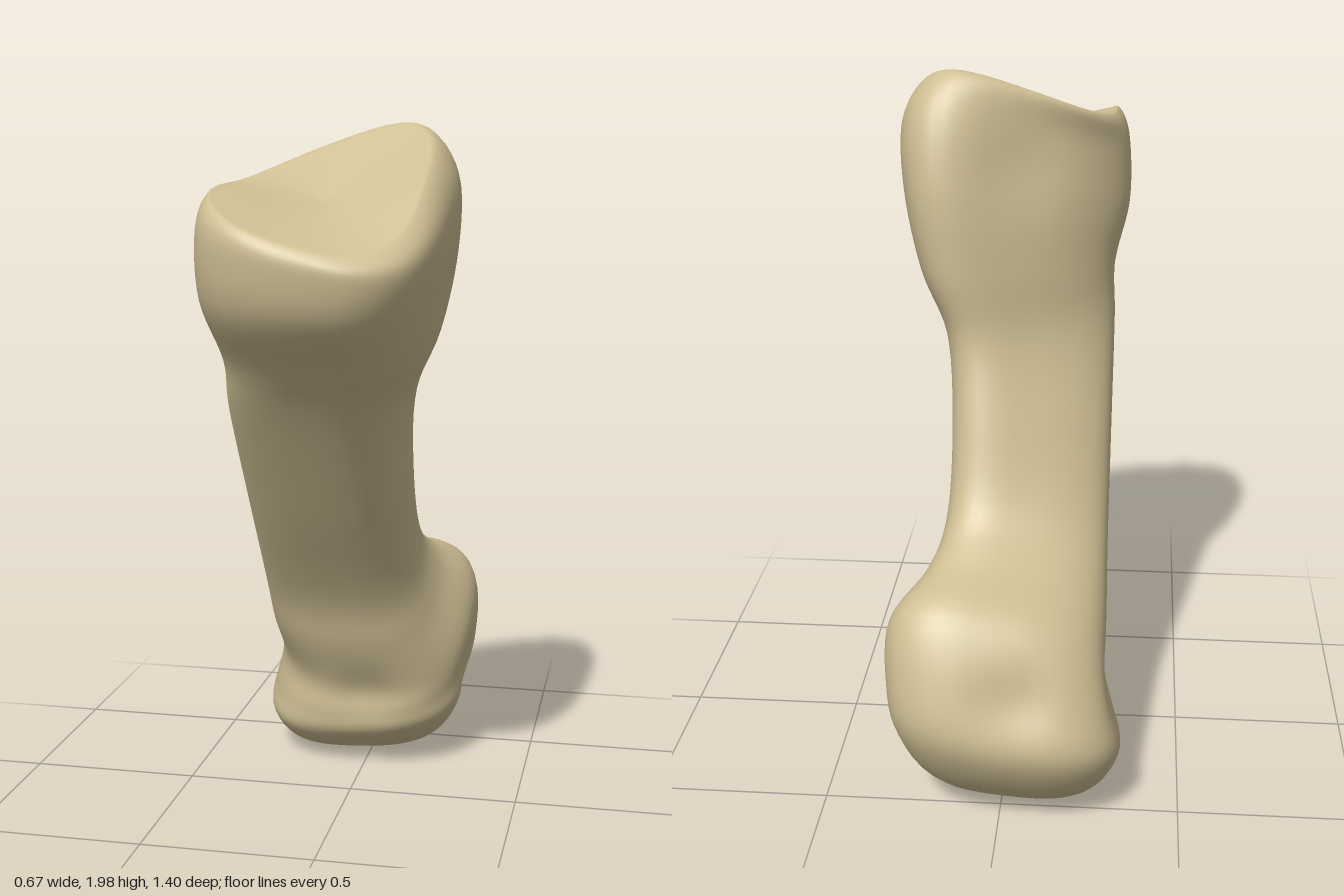
import * as THREE from 'three';

const SEGMENTS = 56, STEPS = 6, SQUARENESS = 2.7;

// Slanted cross-sections from the hollow upper joint down to the lower joint:
// front z, front y, back z, back y, min x, max x, back skew, front tilt, back tilt, front taper
const sections = [
  [0.33, 1.775, 0.33, 1.775, 0.00, 0.00, 0.0, 0.0, 0.0, 0.0],
  [0.62, 1.70, 0.12, 1.895, -0.23, 0.22, 0.2, -0.2, 0.2, 0.0],
  [0.69, 1.67, 0.03, 1.94, -0.28, 0.28, 0.25, -0.25, 0.27, 0.0],
  [0.70, 1.61, 0.00, 1.84, -0.32, 0.34, 0.5, -0.15, 0.15, 0.06],
  [0.66, 1.49, -0.04, 1.65, -0.33, 0.335, 0.6, -0.05, 0.1, 0.1],
  [0.53, 1.345, -0.06, 1.44, -0.285, 0.28, 0.6, 0.0, 0.0, 0.06],
  [0.42, 1.21, -0.08, 1.25, -0.28, 0.20, 0.6, 0.0, 0.0, 0.0],
  [0.20, 0.89, -0.165, 1.04, -0.28, 0.175, 0.45, 0.0, 0.0, 0.0],
  [0.00, 0.60, -0.27, 0.81, -0.28, 0.18, 0.3, 0.0, 0.05, 0.0],
  [-0.07, 0.43, -0.40, 0.70, -0.29, 0.23, 0.2, 0.0, 0.1, 0.05],
  [-0.135, 0.28, -0.57, 0.61, -0.31, 0.335, 0.1, 0.0, 0.15, 0.15],
  [-0.145, 0.19, -0.67, 0.43, -0.345, 0.34, 0.08, 0.05, 0.15, 0.15],
  [-0.17, 0.12, -0.695, 0.27, -0.335, 0.30, 0.03, 0.08, 0.12, 0.03],
  [-0.26, 0.045, -0.56, 0.075, -0.24, 0.20, 0.0, 0.08, 0.08, 0.0],
  [-0.38, 0.005, -0.38, 0.005, -0.03, -0.03, 0.0, 0.0, 0.0, 0.0],
];

// Shallow hollows and swellings: x, y, z, radius, push x, push y, push z
const dents = [
  [0.02, 0.24, -0.13, 0.09, 0, 0, -0.02],
  [0.0, 1.72, 0.0, 0.13, 0, 0, 0.025],
  [0.34, 1.52, 0.24, 0.06, -0.02, 0, 0],
  [0.33, 0.28, -0.42, 0.09, -0.03, 0, 0],
  [-0.34, 0.35, -0.42, 0.09, 0.03, 0, 0],
  [-0.05, 0.42, -0.68, 0.10, 0, 0, 0.03],
  [0.28, 1.80, 0.40, 0.18, 0, 0.03, 0],
  [-0.27, 1.76, 0.45, 0.18, 0, 0.03, 0],
];

function catmull(a, b, c, d, t) {
  return 0.5 * (2 * b + (c - a) * t + (2 * a - 5 * b + 4 * c - d) * t * t
    + (3 * b - a - 3 * c + d) * t * t * t);
}

function sectionAt(i, t) {
  const at = k => sections[Math.min(Math.max(k, 0), sections.length - 1)];
  return sections[i].map((_, n) => catmull(at(i - 1)[n], at(i)[n], at(i + 1)[n], at(i + 2)[n], t));
}

function ringPoint([fz, fy, bz, by, x0, x1, skew, tiltFront, tiltBack, taper], angle) {
  const round = v => Math.sign(v) * Math.pow(Math.abs(v), 2 / SQUARENESS);
  const w = (1 + round(Math.sin(angle))) / 2;
  const x = ((x0 + x1) / 2 + (x1 - x0) / 2 * round(Math.cos(angle))) * (1 - taper * (1 - w));
  const length = Math.hypot(bz - fz, by - fy) || 1;
  const along = w + skew * x * w / length;
  const tilt = x * (tiltFront * (1 - w) + tiltBack * w);
  const p = new THREE.Vector3(x, fy + (by - fy) * along + tilt, fz + (bz - fz) * along);
  for (const [hx, hy, hz, r, px, py, pz] of dents) {
    const d2 = (p.x - hx) ** 2 + (p.y - hy) ** 2 + (p.z - hz) ** 2;
    const k = Math.exp(-d2 / (r * r));
    p.x += px * k; p.y += py * k; p.z += pz * k;
  }
  return p;
}

// Closed smooth skin through all cross-sections
function boneGeometry() {
  const rings = [];
  for (let i = 0; i < sections.length - 1; i++)
    for (let s = 0; s < STEPS; s++) rings.push(sectionAt(i, s / STEPS));
  rings.push(sections[sections.length - 1]);

  const positions = [], index = [], last = rings.length - 1;
  const start = i => 1 + (i - 1) * SEGMENTS;
  positions.push(...ringPoint(rings[0], 0).toArray());
  for (let i = 1; i < last; i++)
    for (let j = 0; j < SEGMENTS; j++)
      positions.push(...ringPoint(rings[i], j / SEGMENTS * Math.PI * 2).toArray());
  positions.push(...ringPoint(rings[last], 0).toArray());

  const bottom = start(last);
  for (let j = 0; j < SEGMENTS; j++) {
    const k = (j + 1) % SEGMENTS;
    index.push(0, start(1) + j, start(1) + k);
    for (let i = 1; i < last - 1; i++) {
      const a = start(i) + j, b = start(i) + k, c = start(i + 1) + j, d = start(i + 1) + k;
      index.push(a, c, b, b, c, d);
    }
    index.push(start(last - 1) + j, bottom, start(last - 1) + k);
  }
  const geometry = new THREE.BufferGeometry();
  geometry.setAttribute('position', new THREE.Float32BufferAttribute(positions, 3));
  geometry.setIndex(index);
  geometry.computeVertexNormals();
  return geometry;
}

export function createModel() {
  const group = new THREE.Group();
  group.name = 'bone';
  const material = new THREE.MeshStandardMaterial({ color: 0xcfbf94 });
  material.name = 'boneTan';
  const bone = new THREE.Mesh(boneGeometry(), material);
  bone.name = 'boneShaftAndJoints';
  group.add(bone);
  return group;
}
